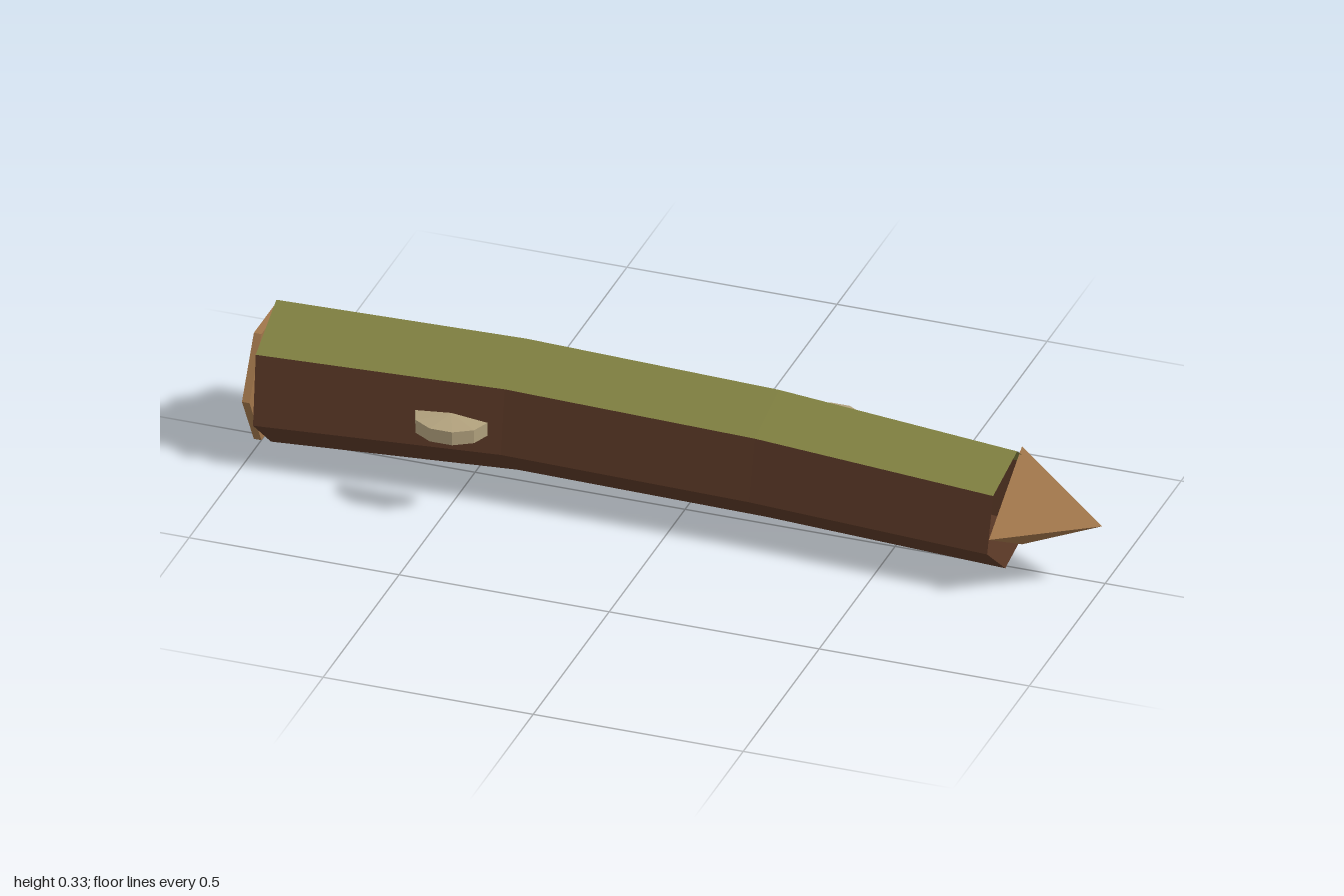
import * as THREE from 'three';

// Ring centres and radii along the bent log
const RINGS = [
  { c: new THREE.Vector3(-0.982, 0.168, -0.007), r: 0.168 },
  { c: new THREE.Vector3(-0.4, 0.179, -0.033), r: 0.156 },
  { c: new THREE.Vector3(0.2, 0.17, -0.027), r: 0.152 },
  { c: new THREE.Vector3(0.78, 0.155, 0.01), r: 0.14 },
];
const SIDES = 6;
const TWIST = -0.18; // tilt of the ridge from straight up

// Point on ring i at corner j, with the ring square to the path
function ringPoint(i, j) {
  const { c, r } = RINGS[i];
  const t = RINGS[Math.min(i + 1, RINGS.length - 1)].c.clone().sub(RINGS[Math.max(i - 1, 0)].c);
  const a = TWIST + (j * Math.PI * 2) / SIDES;
  const dy = Math.cos(a) * r, dz = Math.sin(a) * r;
  return [c.x - (t.y * dy + t.z * dz) / t.x, c.y + dy, c.z + dz];
}

// Lengthwise strip of the open log wall from corner j0 to corner j1
function wall(name, j0, j1, material) {
  const positions = [], index = [];
  const n = j1 - j0 + 1;
  for (let i = 0; i < RINGS.length; i++) {
    for (let j = j0; j <= j1; j++) positions.push(...ringPoint(i, j));
  }
  for (let i = 0; i < RINGS.length - 1; i++) {
    for (let j = 0; j < n - 1; j++) {
      const a = i * n + j, b = a + 1, c = a + n, d = c + 1;
      index.push(a, b, c, b, d, c);
    }
  }
  const g = new THREE.BufferGeometry();
  g.setAttribute('position', new THREE.Float32BufferAttribute(positions, 3));
  g.setIndex(index);
  g.computeVertexNormals();
  const mesh = new THREE.Mesh(g, material);
  mesh.name = name;
  return mesh;
}

// Half-round bracket fungus with a slightly raised centre
function bracket(name, radius, x, y, z, facing, material) {
  const profile = [[0, 0], [radius, 0], [radius, 0.033], [0, 0.042]].map(
    ([r, h]) => new THREE.Vector2(r, h));
  const mesh = new THREE.Mesh(
    new THREE.LatheGeometry(profile, 5, -Math.PI / 2, Math.PI), material);
  mesh.name = name;
  mesh.position.set(x, y, z);
  mesh.scale.z = 0.84;
  if (facing < 0) mesh.rotation.y = Math.PI;
  return mesh;
}

export function createModel() {
  const mat = (name, color) => {
    const m = new THREE.MeshStandardMaterial({ color, flatShading: true, side: THREE.DoubleSide });
    m.name = name;
    return m;
  };
  const bark = mat('bark', 0x5a3826);
  const moss = mat('moss', 0x7f7f40);
  const wood = mat('cutWood', 0xa0754a);
  const fungus = mat('fungus', 0xb0a07c);

  const group = new THREE.Group();
  group.name = 'fallenLog';

  // Mossy upper faces and bark on the rest
  group.add(wall('mossTop', -1, 1, moss));
  group.add(wall('barkSides', 1, 5, bark));

  // Sawn disc on the thick end
  const disc = new THREE.Mesh(new THREE.CylinderGeometry(0.157, 0.157, 0.018, 6), wood);
  disc.name = 'cutEnd';
  disc.rotation.z = -Math.PI / 2;
  disc.position.set(-0.991, 0.168, -0.005);
  group.add(disc);

  // Splintered point on the thin end
  const tip = new THREE.Mesh(new THREE.ConeGeometry(0.145, 0.217, 3), wood);
  tip.name = 'splinterTip';
  tip.rotation.z = -Math.PI / 2;
  tip.position.set(0.8885, 0.155, 0.012);
  group.add(tip);

  // Shelf fungi, one on each side
  group.add(bracket('frontFungus', 0.086, -0.5, 0.195, 0.156, 1, fungus));
  group.add(bracket('backFungus', 0.071, 0.29, 0.178, -0.165, -1, fungus));

  return group;
}
